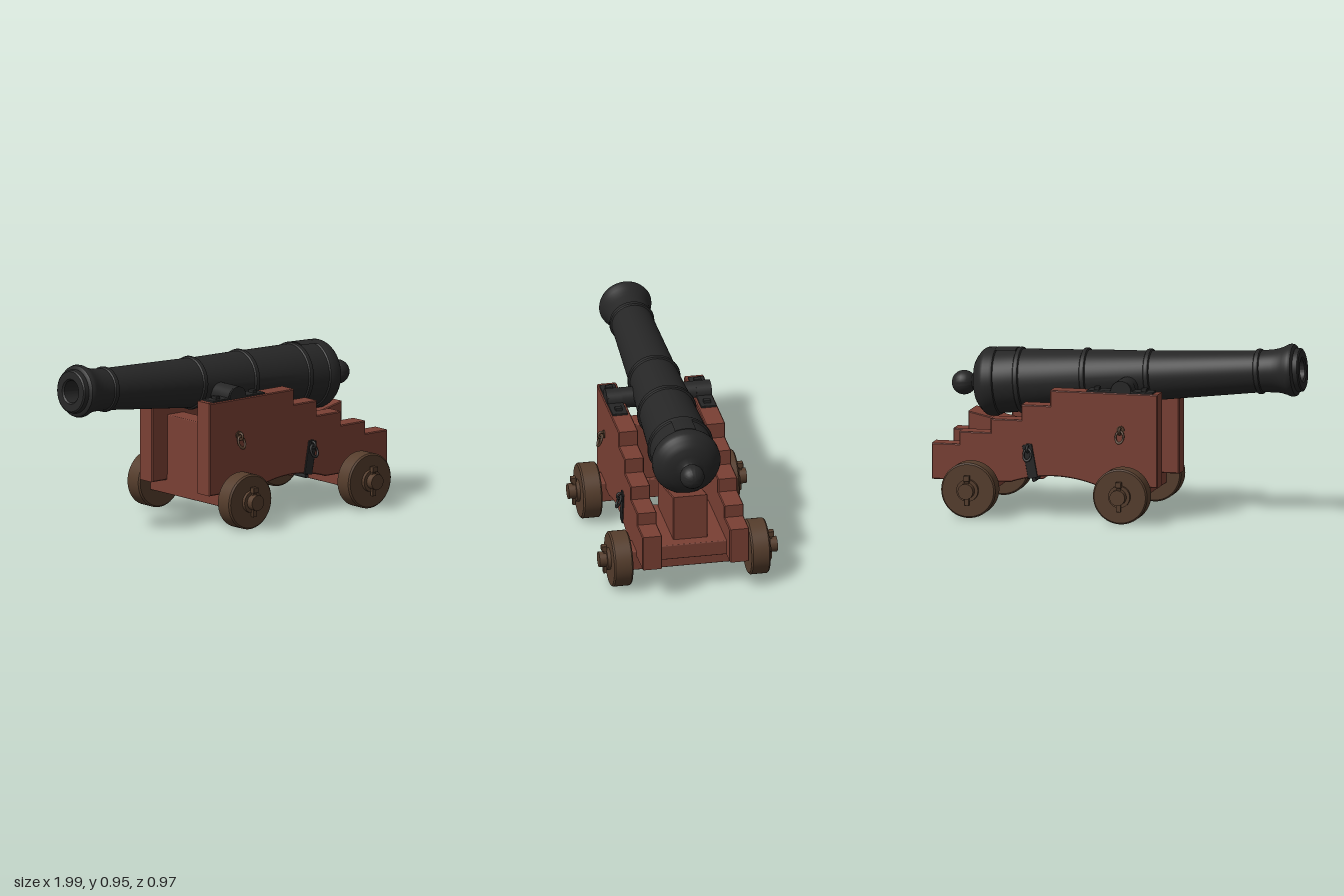
import * as THREE from 'three';
import { toCreasedNormals } from 'three/addons/utils/BufferGeometryUtils.js';
import { RoundedBoxGeometry } from 'three/addons/geometries/RoundedBoxGeometry.js';

const mat = (name, color) => {
  const m = new THREE.MeshStandardMaterial({ color });
  m.name = name;
  return m;
};

export function createModel() {
  const iron = mat('black iron', 0x262626);
  const paint = mat('red painted wood', 0x7a4034);
  const wood = mat('brown wood', 0x553d2c);
  const root = new THREE.Group();
  root.name = 'cannon';

  const add = (name, geo, material, x = 0, y = 0, z = 0, parent = root) => {
    const m = new THREE.Mesh(geo, material);
    m.name = name;
    m.position.set(x, y, z);
    parent.add(m);
    return m;
  };
  // Box given by its limits
  const block = (name, material, [x0, x1], [y0, y1], [z0, z1], r = 0.006) =>
    add(name, new RoundedBoxGeometry(x1 - x0, y1 - y0, z1 - z0, 1, r), material,
      (x0 + x1) / 2, (y0 + y1) / 2, (z0 + z1) / 2);
  const rod = (name, material, r, z0, z1, x, y, sides = 32) =>
    add(name, new THREE.CylinderGeometry(r, r, z1 - z0, sides).rotateX(Math.PI / 2),
      material, x, y, (z0 + z1) / 2);
  // Side profile extruded between two z values, with a small bevel
  const slab = (name, shape, z0, z1, b = 0.005) => {
    const geo = new THREE.ExtrudeGeometry(shape, {
      depth: z1 - z0 - 2 * b, bevelSize: b, bevelOffset: -b, bevelThickness: b,
      bevelSegments: 1, curveSegments: 20,
    });
    return add(name, toCreasedNormals(geo, 0.5), paint, 0, 0, z0 + b);
  };

  // Barrel: local y runs from the muzzle to the knob
  const barrel = new THREE.Group();
  barrel.name = 'barrel';
  barrel.position.set(-0.987, 0.81, 0);
  barrel.rotation.z = -Math.PI / 2 - 0.0775;
  root.add(barrel);
  const ring = (s, r, lip, w = 0.016) => [
    [r, s - w], [r + lip * 0.75, s - w * 0.7], [r + lip, s],
    [r + lip * 0.75, s + w * 0.7], [r, s + w],
  ];
  const profile = [
    [0, 0.6], [0.06, 0.6], [0.06, 0.008], [0.068, 0], [0.108, 0], [0.116, 0.006],
    [0.119, 0.03], [0.126, 0.032], [0.138, 0.04], [0.143, 0.055], [0.14, 0.07],
    [0.131, 0.09], [0.121, 0.12], [0.116, 0.15], [0.114, 0.19],
    ...ring(0.235, 0.113, 0.01), ...ring(0.84, 0.134, 0.011),
    ...ring(1.19, 0.152, 0.011), ...ring(1.555, 0.169, 0.011),
    [0.173, 1.68], [0.181, 1.685], [0.185, 1.7], [0.185, 1.735], [0.179, 1.75],
    [0.168, 1.765], [0.158, 1.772], [0.145, 1.785], [0.12, 1.8], [0.08, 1.812],
    [0.05, 1.818], [0.04, 1.828], [0.038, 1.84],
  ];
  for (let i = 0; i <= 10; i++) {
    const a = 0.6 + (Math.PI - 0.6) * i / 10;
    profile.push([Math.max(0, 0.066 * Math.sin(a)), 1.881 - 0.066 * Math.cos(a)]);
  }
  const lathe = (pts, seg, ...arc) => toCreasedNormals(
    new THREE.LatheGeometry(pts.map(p => new THREE.Vector2(...p)), seg, ...arc), 0.6);
  add('gunTube', lathe(profile, 56), iron, 0, 0, 0, barrel);
  // Raised vent patch on top of the breech
  add('ventPatch', lathe([[0.165, 1.57], [0.18, 1.57], [0.184, 1.685], [0.17, 1.685]],
    10, Math.PI * 1.5 - 0.32, 0.64), iron, 0, 0, 0, barrel);
  rod('trunnions', iron, 0.056, -0.287, 0.287, -0.05, 0.7);

  // Stepped cheek profile with an arched underside
  const cheek = new THREE.Shape();
  cheek.moveTo(-0.255, 0.182);
  cheek.lineTo(0.08, 0.182);
  cheek.quadraticCurveTo(0.32, 0.265, 0.56, 0.182);
  for (const [x, y] of [[0.995, 0.182], [0.995, 0.378], [0.842, 0.378], [0.842, 0.447],
    [0.67, 0.447], [0.67, 0.523], [0.5, 0.523], [0.5, 0.606], [0.34, 0.606],
    [0.34, 0.69], [-0.255, 0.69]]) cheek.lineTo(x, y);
  slab('leftCheek', cheek, 0.185, 0.292);
  slab('rightCheek', cheek, -0.292, -0.185);

  // Cross members, bed and elevating wedge
  block('frontTransom', paint, [-0.15, -0.03], [0.18, 0.54], [-0.19, 0.19]);
  block('stoolBed', paint, [0.4, 0.905], [0.188, 0.272], [-0.19, 0.19]);
  const wedge = new THREE.Shape([[0.42, 0.27], [0.842, 0.27], [0.842, 0.525], [0.42, 0.43]]
    .map(p => new THREE.Vector2(...p)));
  slab('quoin', wedge, -0.095, 0.095);
  rod('crossBolt', iron, 0.012, -0.29, 0.29, 0.43, 0.2, 10);

  // Axles and wheels
  const wheelShape = [[0, -0.052], [0.142, -0.052], [0.15, -0.044], [0.15, 0.044],
    [0.142, 0.052], [0, 0.052]];
  for (const [end, x] of [['front', -0.08], ['rear', 0.76]]) {
    block(end + 'Axle', paint, [x - 0.07, x + 0.07], [0.105, 0.216], [-0.33, 0.33]);
    rod(end + 'AxleArms', wood, 0.042, -0.487, 0.487, x, 0.153);
    for (const s of [1, -1]) {
      add(end + 'Wheel', lathe(wheelShape, 48).rotateX(Math.PI / 2), wood, x, 0.15, s * 0.376);
      rod(end + 'Washer', wood, 0.06, s * 0.436 - 0.011, s * 0.436 + 0.011, x, 0.153);
      block(end + 'Linchpin', wood, [x - 0.013, x + 0.013], [0.072, 0.235],
        [s * 0.453 - 0.009, s * 0.453 + 0.009], 0.003);
      block(end + 'LinchpinHead', wood, [x - 0.017, x + 0.017], [0.205, 0.235],
        [s * 0.457 - 0.015, s * 0.457 + 0.015], 0.003);
    }
  }

  // Iron fittings on each cheek
  for (const s of [1, -1]) {
    const span = (a, b) => (s > 0 ? [a, b] : [-b, -a]);
    // Trunnion cap with flat ends and bolts
    block('capStrap', iron, [-0.225, 0.14], [0.685, 0.7], span(0.2, 0.285), 0.003);
    rod('trunnionCap', iron, 0.061, ...span(0.203, 0.278), -0.05, 0.695);
    for (const x of [-0.17, 0.09])
      block('capBolt', iron, [x - 0.016, x + 0.016], [0.695, 0.716], span(0.222, 0.262), 0.003);
    // Hanging ring on an eyebolt
    const hanger = (name, x, y, material) => {
      rod(name + 'Plate', material, 0.022, ...span(0.288, 0.298), x, y + 0.005, 16);
      add(name + 'Eye', new THREE.TorusGeometry(0.017, 0.007, 8, 16).rotateY(Math.PI / 2),
        material, x, y, s * 0.308);
      const loop = add(name, new THREE.TorusGeometry(0.027, 0.007, 8, 20).scale(0.8, 1.2, 1),
        material, x, y - 0.032, s * 0.316);
      loop.rotation.x = -s * 0.4;
    };
    hanger('breechingRing', -0.05, 0.487, wood);
    hanger('tackleRing', 0.46, 0.37, iron);
    const strap = block('cheekStrap', iron, [0.423, 0.477], [0.208, 0.392],
      span(0.287, 0.3), 0.003);
    strap.rotation.z = -0.18;
    block('innerBatten', wood, [0.2, 0.25], [0.32, 0.66], span(0.178, 0.19), 0.003);
  }
  return root;
}
